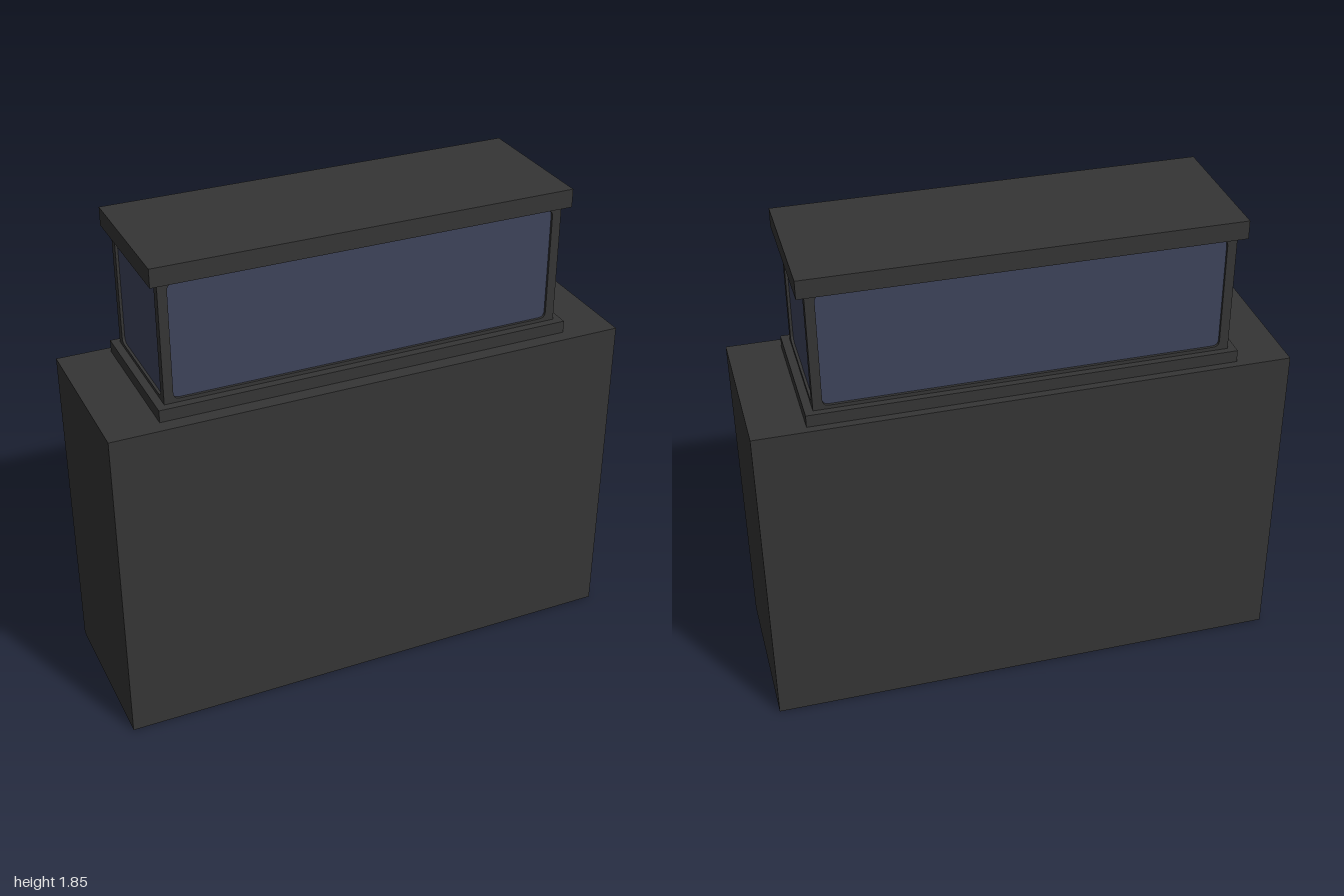
import * as THREE from 'three';

export function createModel() {
  const model = new THREE.Group();
  model.name = 'displayCase';

  const charcoal = new THREE.MeshStandardMaterial({ color: 0x353535 });
  charcoal.name = 'charcoal';
  const glassBlue = new THREE.MeshStandardMaterial({ color: 0x3e445b });
  glassBlue.name = 'blue glass';

  function addBox(name, material, parent, [w, h, d], bottom, z = 0) {
    const mesh = new THREE.Mesh(new THREE.BoxGeometry(w, h, d), material);
    mesh.name = name;
    mesh.position.set(0, bottom + h / 2, z);
    parent.add(mesh);
    return mesh;
  }

  // Rectangular frame with a rounded opening, outer face at z = 0
  function frameGeometry(width, height, openW, openH, thickness) {
    const shape = new THREE.Shape();
    shape.moveTo(-width / 2, 0);
    shape.lineTo(width / 2, 0);
    shape.lineTo(width / 2, height);
    shape.lineTo(-width / 2, height);
    shape.closePath();

    const x = openW / 2, y0 = (height - openH) / 2 + 0.003, y1 = y0 + openH, r = 0.025;
    const hole = new THREE.Path();
    hole.moveTo(-x + r, y0);
    hole.lineTo(x - r, y0);
    hole.quadraticCurveTo(x, y0, x, y0 + r);
    hole.lineTo(x, y1 - r);
    hole.quadraticCurveTo(x, y1, x - r, y1);
    hole.lineTo(-x + r, y1);
    hole.quadraticCurveTo(-x, y1, -x, y1 - r);
    hole.lineTo(-x, y0 + r);
    hole.quadraticCurveTo(-x, y0, -x + r, y0);
    shape.holes.push(hole);

    const geometry = new THREE.ExtrudeGeometry(shape, { depth: thickness, bevelEnabled: false, curveSegments: 5 });
    return geometry.translate(0, 0, -thickness);
  }

  // Solid pedestal
  addBox('pedestal', charcoal, model, [2, 1.275, 0.64], 0);

  // Glazed upper case, set slightly back on the pedestal
  const upper = new THREE.Group();
  upper.name = 'glazedCase';
  upper.position.z = -0.015;
  model.add(upper);

  addBox('sill', charcoal, upper, [1.6, 0.047, 0.556], 1.275, 0.003);
  addBox('roof', charcoal, upper, [1.6, 0.07, 0.548], 1.782, -0.002);
  addBox('glass', glassBlue, upper, [1.52, 0.46, 0.48], 1.322);

  // Frames around the panes: long pair, then end pair fitted between them
  const longFrame = frameGeometry(1.54, 0.46, 1.47, 0.438, 0.03);
  const endFrame = frameGeometry(0.44, 0.46, 0.432, 0.438, 0.03);
  for (const [name, geometry, x, z, turn] of [
    ['frontFrame', longFrame, 0, 0.25, 0],
    ['backFrame', longFrame, 0, -0.25, Math.PI],
    ['leftFrame', endFrame, 0.77, 0, Math.PI / 2],
    ['rightFrame', endFrame, -0.77, 0, -Math.PI / 2],
  ]) {
    const frame = new THREE.Mesh(geometry, charcoal);
    frame.name = name;
    frame.position.set(x, 1.322, z);
    frame.rotation.y = turn;
    upper.add(frame);
  }

  return model;
}
